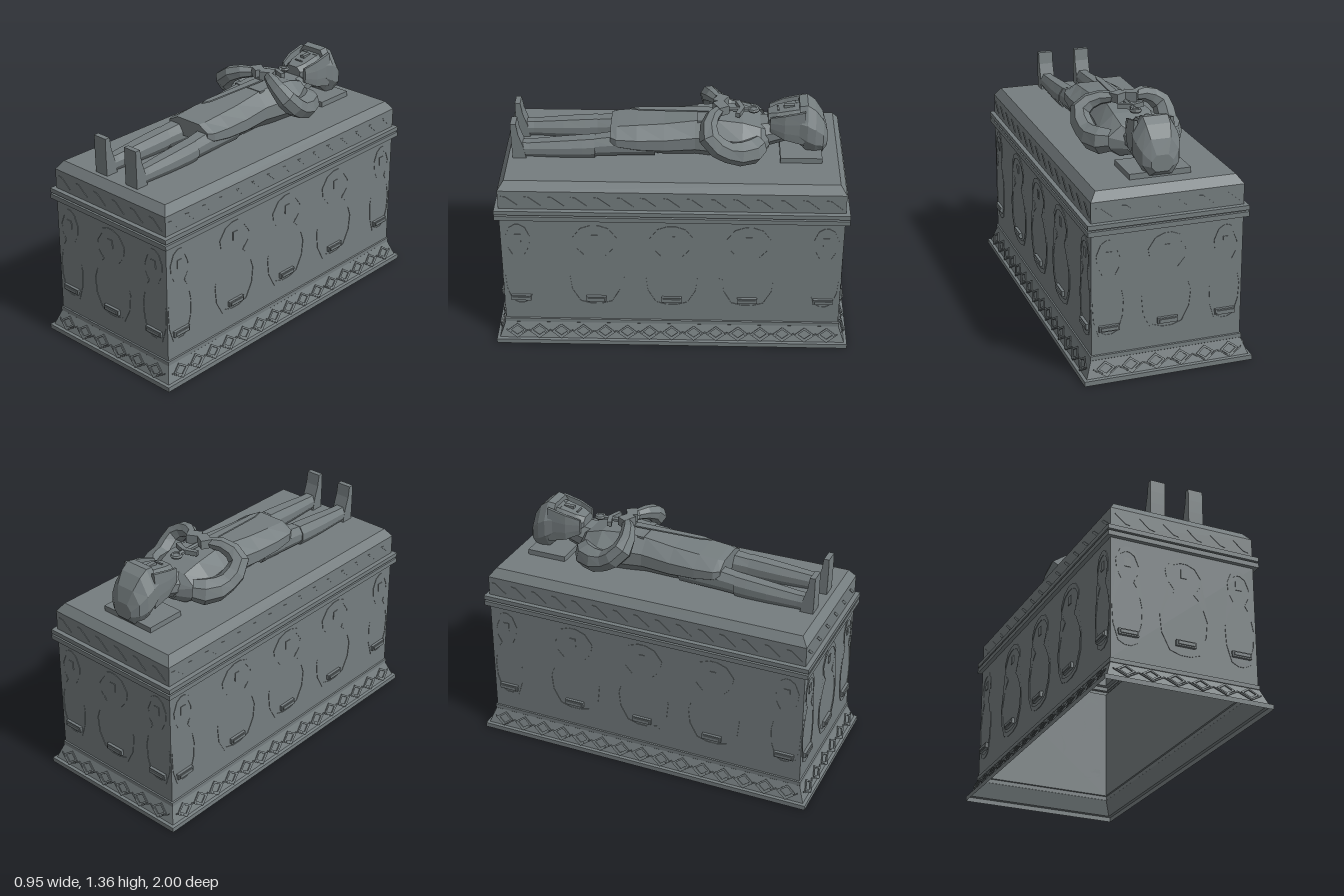
import * as THREE from 'three';

const stone = new THREE.MeshStandardMaterial({ color: 0x757d7f, flatShading: true, side: THREE.DoubleSide });
stone.name = 'grey stone';

function add(parent, name, geometry, x = 0, y = 0, z = 0) {
  const m = new THREE.Mesh(geometry, stone);
  m.name = name;
  m.position.set(x, y, z);
  parent.add(m);
  return m;
}
const box = (p, name, w, h, d, x, y, z) => add(p, name, new THREE.BoxGeometry(w, h, d), x, y, z);

// Skin a list of equal-sized rings, closing the ends when asked
function skin(rings, capStart = true, capEnd = true) {
  const n = rings[0].length, pos = rings.flat(2), idx = [];
  for (let i = 0; i < rings.length - 1; i++) for (let j = 0; j < n; j++) {
    const a = i * n + j, b = i * n + (j + 1) % n;
    idx.push(a, b, b + n, a, b + n, a + n);
  }
  const e = (rings.length - 1) * n;
  for (let j = 1; j < n - 1; j++) {
    if (capStart) idx.push(0, j + 1, j);
    if (capEnd) idx.push(e, e + j, e + j + 1);
  }
  const g = new THREE.BufferGeometry();
  g.setAttribute('position', new THREE.Float32BufferAttribute(pos, 3));
  g.setIndex(idx);
  const flat = g.toNonIndexed();
  flat.computeVertexNormals();
  return flat;
}

// Eight-sided body sections along z: [z, centre x, half width, bottom y, top y]
function body(sections) {
  return skin(sections.map(([z, cx, w, lo, hi]) =>
    [[1, 0.3], [1, 0.65], [0.55, 1], [-0.55, 1], [-1, 0.65], [-1, 0.3], [-0.6, 0], [0.6, 0]]
      .map(([u, v]) => [cx + u * w, lo + v * (hi - lo), z])));
}

function plate(points, depth, hole) {
  const s = new THREE.Shape(points.map(p => new THREE.Vector2(...p)));
  if (hole) s.holes.push(new THREE.Path(hole.map(p => new THREE.Vector2(...p))));
  return new THREE.ExtrudeGeometry(s, { depth, bevelEnabled: false });
}
const diamond = (w, h) => [[w, 0], [0, h], [-w, 0], [0, -h]];

// Robed saint silhouette with a halo, y measured from the floor
function saintOutline(k, s) {
  const half = [[0.03, 0.23], [0.09, 0.25], [0.135, 0.34], [0.145, 0.44], [0.11, 0.55], [0.06, 0.6],
    [0.1, 0.65], [0.11, 0.71], [0.07, 0.77], [0.02, 0.79]]
    .map(([x, y]) => [x * k * s, 0.5 + (y - 0.5) * s]);
  return [...half, ...half.map(([x, y]) => [-x, y]).reverse()];
}

function addWall(root, turn, half, dist, ledges, width) {
  const wall = new THREE.Group();
  wall.name = 'wallCarving';
  wall.rotation.y = turn;
  root.add(wall);
  // Saints in low relief, each standing over a small ledge
  for (const x of ledges) {
    const k = Math.abs(x) > half - 0.13 ? 0.62 : width;
    add(wall, 'saintRelief', plate(saintOutline(k, 1), 0.003, saintOutline(k, 0.9)), x, 0, dist);
    box(wall, 'saintFace', 0.035, 0.05, 0.004, x, 0.7, dist + 0.002);
    box(wall, 'ledge', 0.112, 0.032, 0.016, x, 0.295, dist + 0.008);
    box(wall, 'ledgeFront', 0.095, 0.018, 0.008, x, 0.295, dist + 0.018);
  }
  // Pierced diamonds and a zigzag on the sloping plinth
  const slope = new THREE.Group();
  slope.name = 'plinthTrim';
  slope.position.set(0, 0.075, dist + 0.027);
  slope.rotation.x = -0.4;
  wall.add(slope);
  const count = Math.round(2 * half / 0.13), step = 2 * half / count;
  const ring = plate(diamond(0.052, 0.039), 0.006, diamond(0.036, 0.026));
  const vee = plate([[-step / 2, 0.006], [0, -0.038], [step / 2, 0.006], [step / 2, -0.002], [0, -0.046], [-step / 2, -0.002]], 0.005);
  for (let i = 0; i < count; i++) {
    const x = -half + (i + 0.5) * step;
    add(slope, 'diamond', ring, x, 0, 0);
    add(slope, 'zigzag', vee, x, 0, -0.001);
  }
  // Slanted leaves around the lid
  const leaf = plate([[-0.045, 0.028], [-0.02, 0.025], [0.045, -0.028], [0.015, -0.022]], 0.003);
  for (let i = 0; i < count; i++) add(wall, 'lidLeaf', leaf, -half + (i + 0.5) * step, 0.945, dist);
}

function addEffigy(root) {
  const effigy = new THREE.Group();
  effigy.name = 'effigy';
  root.add(effigy);
  box(effigy, 'pillow', 0.34, 0.035, 0.23, 0, 1.066, -0.705);

  // Tunic and chest
  add(effigy, 'tunic', body([
    [-0.53, 0, 0.08, 1.08, 1.19], [-0.48, 0, 0.17, 1.06, 1.23], [-0.38, 0, 0.19, 1.05, 1.265],
    [-0.24, 0, 0.17, 1.05, 1.275], [-0.12, 0, 0.155, 1.06, 1.265], [0.05, 0, 0.165, 1.06, 1.245],
    [0.2, 0, 0.17, 1.075, 1.235], [0.31, 0, 0.165, 1.1, 1.225], [0.345, 0, 0.145, 1.12, 1.22]]));
  box(effigy, 'belt', 0.19, 0.02, 0.035, 0, 1.26, -0.15);
  add(effigy, 'neck', body([[-0.62, 0, 0.07, 1.12, 1.24], [-0.47, 0, 0.1, 1.08, 1.23]]));

  // Head, face and helmet
  add(effigy, 'head', body([
    [-0.75, 0, 0.095, 1.1, 1.33], [-0.66, 0, 0.1, 1.13, 1.32],
    [-0.57, 0, 0.09, 1.16, 1.3], [-0.52, 0, 0.055, 1.22, 1.285]]));
  add(effigy, 'helmet', body([
    [-0.85, 0, 0.06, 1.09, 1.18], [-0.825, 0, 0.1, 1.065, 1.26], [-0.78, 0, 0.12, 1.06, 1.325],
    [-0.735, 0, 0.125, 1.08, 1.357], [-0.69, 0, 0.115, 1.12, 1.35]]));
  box(effigy, 'nose', 0.024, 0.016, 0.06, 0, 1.317, -0.635);
  box(effigy, 'mouth', 0.05, 0.007, 0.01, 0, 1.304, -0.575);
  for (const s of [-1, 1]) {
    box(effigy, 'eye', 0.03, 0.008, 0.012, s * 0.04, 1.32, -0.675);
    add(effigy, 'cheekGuard', body([[-0.72, s * 0.1, 0.016, 1.13, 1.335], [-0.61, s * 0.1, 0.013, 1.16, 1.31], [-0.53, s * 0.08, 0.01, 1.2, 1.285]]));

    // Arms fold up over the chest
    const path = new THREE.CatmullRomCurve3([
      [0.14, 1.15, -0.47], [0.205, 1.14, -0.41], [0.237, 1.16, -0.3], [0.235, 1.24, -0.2],
      [0.15, 1.3, -0.2], [0.06, 1.315, -0.245]].map(([x, y, z]) => new THREE.Vector3(s * x, y, z)));
    const steps = 8, radii = [0.06, 0.075, 0.07, 0.06, 0.06, 0.058, 0.048, 0.04, 0.03];
    const arm = new THREE.TubeGeometry(path, steps, 1, 7), p = arm.attributes.position;
    const v = new THREE.Vector3(), c = new THREE.Vector3();
    for (let i = 0; i < p.count; i++) {
      const k = Math.floor(i / 8);
      path.getPointAt(k / steps, c);
      v.fromBufferAttribute(p, i).sub(c).multiplyScalar(radii[k]).add(c);
      p.setXYZ(i, v.x, v.y, v.z);
    }
    add(effigy, 'arm', arm);
    const hand = box(effigy, 'hand', 0.08, 0.05, 0.06, s * 0.035, 1.318, -0.26);
    hand.rotation.y = s * 0.5;

    // Legs, boots and upright feet
    add(effigy, 'thigh', body([[0.1, s * 0.09, 0.07, 1.07, 1.2], [0.34, s * 0.1, 0.058, 1.065, 1.18], [0.46, s * 0.107, 0.05, 1.06, 1.165]]));
    add(effigy, 'boot', body([[0.43, s * 0.108, 0.056, 1.055, 1.17], [0.5, s * 0.11, 0.055, 1.052, 1.165],
      [0.62, s * 0.112, 0.052, 1.052, 1.155], [0.79, s * 0.114, 0.042, 1.055, 1.14], [0.86, s * 0.114, 0.042, 1.052, 1.14]]));
    add(effigy, 'foot', skin([[1.05, 0.81, 0.885], [1.13, 0.825, 0.887], [1.2, 0.848, 0.888], [1.268, 0.858, 0.888]].map(([y, a, b]) =>
      [[s * 0.114 + 0.043, y, b], [s * 0.114 + 0.043, y, a], [s * 0.114 - 0.043, y, a], [s * 0.114 - 0.043, y, b]])));
  }

  // Sword held point down along the body
  const blade = add(effigy, 'swordBlade', plate([[-0.024, 0.23], [0.024, 0.23], [0.016, -0.18], [0, -0.24], [-0.016, -0.18]], 0.008), 0, 1.283, 0);
  blade.rotation.x = -Math.PI / 2;
  const grip = add(effigy, 'swordGrip', new THREE.CylinderGeometry(0.014, 0.014, 0.2, 6), 0, 1.292, -0.32);
  grip.rotation.x = Math.PI / 2;
  for (const s of [-1, 1]) {
    const guard = box(effigy, 'swordGuard', 0.08, 0.026, 0.025, s * 0.035, 1.295, -0.365);
    guard.rotation.y = s * -0.35;
  }
  const pommel = add(effigy, 'swordPommel', new THREE.TorusGeometry(0.023, 0.011, 6, 10), 0, 1.292, -0.44);
  pommel.rotation.x = Math.PI / 2;
  add(effigy, 'pommelCore', new THREE.CylinderGeometry(0.018, 0.018, 0.012, 8), 0, 1.292, -0.44);
}

export function createModel() {
  const root = new THREE.Group();
  root.name = 'tomb';

  // Hollow chest, open underneath: [half width, half length, y]
  const profile = [
    [0.475, 1, 0], [0.475, 1, 0.027], [0.458, 0.983, 0.03], [0.425, 0.95, 0.118], [0.427, 0.952, 0.12],
    [0.427, 0.952, 0.143], [0.42, 0.945, 0.146], [0.42, 0.945, 0.828], [0.444, 0.969, 0.828],
    [0.444, 0.969, 0.855], [0.432, 0.957, 0.857], [0.432, 0.957, 0.863], [0.444, 0.969, 0.865],
    [0.444, 0.969, 0.89], [0.42, 0.945, 0.892], [0.42, 0.945, 1.005], [0.385, 0.91, 1.053]];
  add(root, 'chest', skin(profile.map(([w, d, y]) => [[w, y, d], [w, y, -d], [-w, y, -d], [-w, y, d]]), false, true));

  for (const k of [0, 1]) {
    addWall(root, k * Math.PI, 0.42, 0.945, [-0.325, 0, 0.325], 1);
    addWall(root, (k + 0.5) * Math.PI, 0.945, 0.42, [-0.85, -0.425, 0, 0.425, 0.85], 1.1);
  }
  addEffigy(root);
  return root;
}
